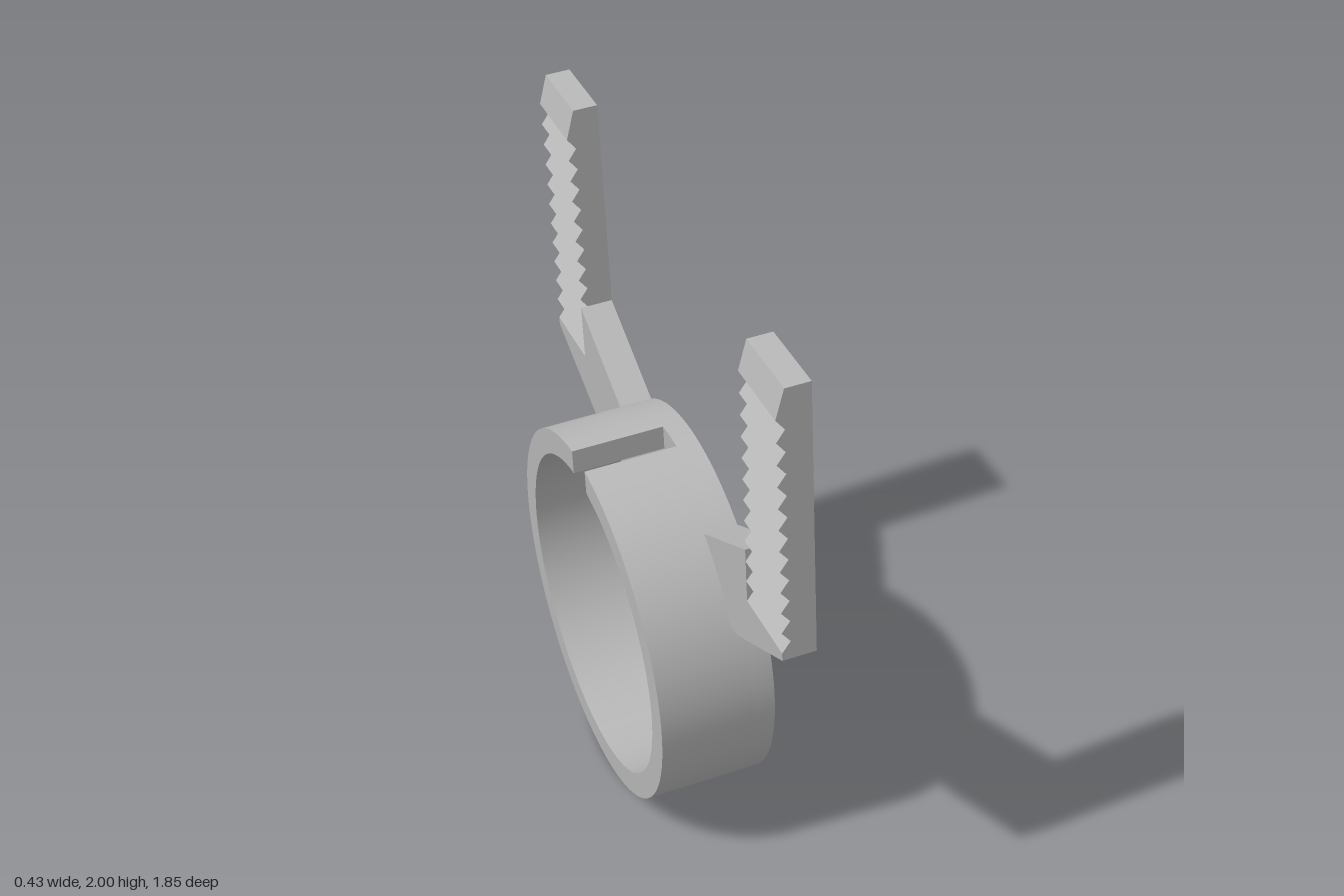
import * as THREE from 'three';
import { toCreasedNormals } from 'three/addons/utils/BufferGeometryUtils.js';

const R = 0.602, INNER = 0.52, DEPTH = 0.365, FLOOR = 0.07;
const ARM = 0.105, SLOT = 0.055, ELBOW_Z = 0.675, TIP_Z = 0.925, TOP = 1.98;

// points on a circle round the disc centre, as (z, height)
function arc(r, from, to, steps) {
  const pts = [];
  for (let i = 0; i <= steps; i++) {
    const a = from + (to - from) * i / steps;
    pts.push([r * Math.cos(a), R + r * Math.sin(a)]);
  }
  return pts;
}

const outline = (pts, side = 1) =>
  new THREE.Shape(pts.map(([a, b]) => new THREE.Vector2(a * side, b)));

// plate drawn in (z, height), running from depth "near" to depth "far" behind the flat face
function plate(pts, near, far, side = 1) {
  const g = new THREE.ExtrudeGeometry(outline(pts, side), { depth: far - near, bevelEnabled: false });
  g.translate(0, 0, near).rotateY(-Math.PI / 2);
  return toCreasedNormals(g, 0.5);
}

export function createModel() {
  const grey = new THREE.MeshStandardMaterial({ color: 0xb8b8b8 });
  grey.name = 'grey';

  const model = new THREE.Group();
  model.name = 'toothedForkCap';
  // the whole piece leans slightly
  const body = new THREE.Group();
  body.name = 'leaningBody';
  body.position.set(0.214, 0.0213, 0);
  body.rotation.z = 0.0585;
  model.add(body);

  const add = (name, geometry, parent) => {
    const mesh = new THREE.Mesh(geometry, grey);
    mesh.name = name;
    parent.add(mesh);
  };

  // closed face of the cap
  add('capFace', plate(arc(R, 0, Math.PI * 2, 128).slice(0, -1), 0, FLOOR), body);

  // rim wall, open at the slot on top
  const up = Math.PI / 2, full = Math.PI * 2;
  const ao = Math.asin(SLOT / R), ai = Math.asin(SLOT / INNER);
  add('slottedRim', plate([
    ...arc(R, up + ao, up + full - ao, 128),
    ...arc(INNER, up + full - ai, up + ai, 128),
  ], FLOOR, DEPTH), body);

  // side profile of a finger as (depth, height): flat face, bevelled tip, row of teeth
  const heel = 1.055, pitch = 0.073, notch = 0.027, teeth = 11;
  const profile = [[0, heel], [0, TOP], [-0.078, TOP]];
  const firstPeak = 1.885;
  for (let i = 0; i <= teeth; i++) {
    const y = firstPeak - i * pitch;
    profile.push([-ARM, y]);
    if (i < teeth) profile.push([-ARM + notch, y - pitch / 2]);
  }
  profile.push([-ARM, heel]);

  for (const side of [1, -1]) {
    const arm = new THREE.Group();
    arm.name = side > 0 ? 'frontArm' : 'backArm';
    body.add(arm);

    // sloping forearm, fitted to the edge of the cap
    add('forearm', plate([
      ...arc(R, 0.948, 0.476, 16),
      [0.575, 0.878], [ELBOW_Z, 0.927], [ELBOW_Z, 1.27],
    ], 0, ARM, side), arm);

    // wedge under the finger
    add('elbow', plate([[ELBOW_Z, 0.927], [TIP_Z, heel], [ELBOW_Z, heel]], 0, ARM, side), arm);

    // upright toothed finger
    const finger = new THREE.ExtrudeGeometry(outline(profile), { depth: TIP_Z - ELBOW_Z, bevelEnabled: false });
    finger.translate(0, 0, side > 0 ? ELBOW_Z : -TIP_Z);
    add('toothedFinger', finger, arm);
  }
  return model;
}
